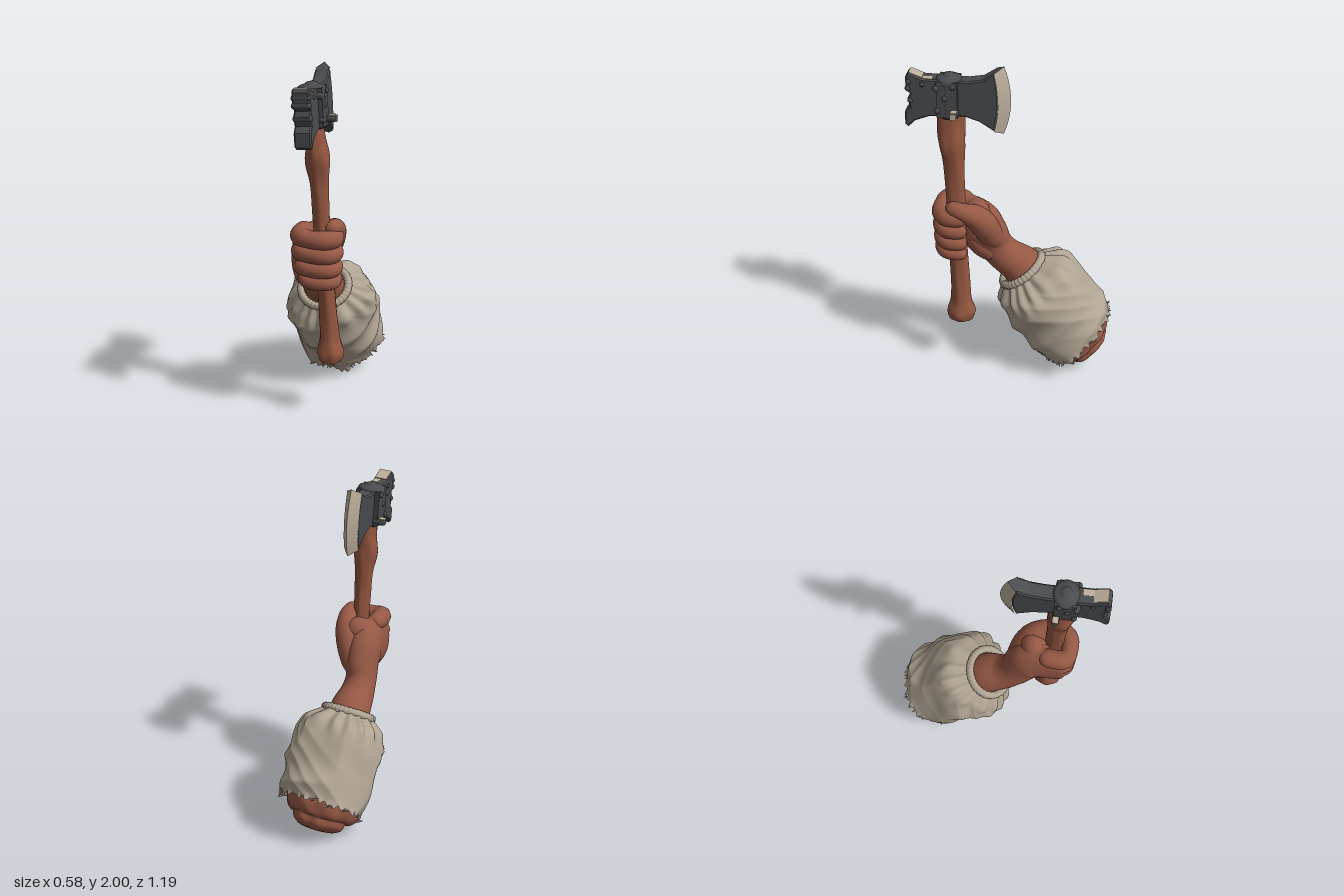
import * as THREE from 'three';

const V = (x, y, z) => new THREE.Vector3(x, y, z);
const material = (name, color, side = THREE.FrontSide) =>
  Object.assign(new THREE.MeshStandardMaterial({ color, side }), { name });

// Smooth skin over closed rings: f(theta, s) gives a point, s runs from 0 to 1
function skinSurface(nu, nv, f) {
  const pos = [], index = [];
  for (let j = 0; j <= nv; j++)
    for (let i = 0; i < nu; i++) pos.push(...f((i / nu) * Math.PI * 2, j / nv).toArray());
  for (let j = 0; j < nv; j++)
    for (let i = 0; i < nu; i++) {
      const a = j * nu + i, b = j * nu + ((i + 1) % nu);
      index.push(a, b, a + nu, b, b + nu, a + nu);
    }
  const g = new THREE.BufferGeometry();
  g.setAttribute('position', new THREE.Float32BufferAttribute(pos, 3));
  g.setIndex(index);
  g.computeVertexNormals();
  return g;
}

// Tapered limb through rows of [x, y, z, radius along ref, radius across]
function limb(rows, ref, cap = 0.15, nu = 24, nv = 40, bump = () => 1) {
  const path = new THREE.CatmullRomCurve3(rows.map(r => V(r[0], r[1], r[2])));
  const size = new THREE.CatmullRomCurve3(rows.map(r => V(r[3], r[4] ?? r[3], 0)), false, 'catmullrom');
  return skinSurface(nu, nv, (th, u) => {
    const s = 0.5 - 0.5 * Math.cos(Math.PI * u);
    const edge = Math.min(1, Math.min(s, 1 - s) / cap);
    const k = Math.sqrt(Math.max(0, 1 - (1 - edge) ** 2)) * bump(th, s);
    const t = path.getTangent(s), r = size.getPoint(s);
    const e1 = ref.clone().addScaledVector(t, -ref.dot(t)).normalize();
    const e2 = t.clone().cross(e1);
    return path.getPoint(s).addScaledVector(e1, r.x * k * Math.cos(th))
      .addScaledVector(e2, r.y * k * Math.sin(th));
  });
}

// Plate drawn in (z, y) and given thickness along x
function plate(points, thick) {
  const b = 0.008;
  const g = new THREE.ExtrudeGeometry(new THREE.Shape(points.map(p => new THREE.Vector2(...p))), {
    depth: thick - 2 * b, bevelEnabled: true, bevelSize: b, bevelThickness: b, bevelOffset: -b, bevelSegments: 1,
  });
  return g.translate(0, 0, b - thick / 2).rotateY(-Math.PI / 2);
}

// Flat-shaded geometry from a list of corner triples
function facets(corners) {
  const g = new THREE.BufferGeometry();
  g.setAttribute('position', new THREE.Float32BufferAttribute(corners.flat(), 3));
  g.computeVertexNormals();
  return g;
}

export function createModel() {
  const skin = material('skin', 0x965845);
  const wood = material('wood', 0x94563f);
  const cloth = material('cloth', 0xafa392, THREE.DoubleSide);
  const metal = material('dark metal', 0x494b4e);
  const steel = material('pale steel', 0xbeb09c);
  const X = V(1, 0, 0), Y = V(0, 1, 0);

  const model = new THREE.Group();
  const add = (parent, name, geo, mat, x = 0, y = 0, z = 0) => {
    const m = new THREE.Mesh(geo, mat);
    m.name = name;
    m.position.set(x, y, z);
    parent.add(m);
    return m;
  };

  // ---- Axe, leaning slightly to one side
  const axe = new THREE.Group();
  axe.name = 'axe';
  axe.position.x = 0.132;
  axe.rotation.z = 0.0625;
  model.add(axe);

  add(axe, 'handle', limb([
    [0, 0.33, 0.312, 0.062, 0.075], [0, 0.385, 0.315, 0.076, 0.085], [0, 0.47, 0.316, 0.058, 0.062],
    [0, 0.62, 0.318, 0.052, 0.055], [0, 1.0, 0.333, 0.046, 0.053], [0.002, 1.25, 0.338, 0.047, 0.055],
    [0.004, 1.4, 0.342, 0.051, 0.06], [0.005, 1.52, 0.35, 0.067, 0.073], [0.004, 1.63, 0.352, 0.05, 0.08],
    [0, 1.75, 0.355, 0.045, 0.08],
  ], X, 0.015, 28, 70, (th, s) => 1 + 0.035 * Math.cos(6 * th + 5 * s) + 0.02 * Math.sin(3 * th + 30 * s)), wood);

  // Blade, its outline following the inner arc of the cutting edge
  const inner = v => [0.085 + 0.022 * v * v, 1.805 + 0.172 * v];
  const outer = v => [0.02 + 0.038 * v * v, 1.805 + 0.2 * v];
  const steps = [...Array(13)].map((_, i) => i / 6 - 1);
  add(axe, 'blade', plate([
    ...steps.map(inner), [0.17, 1.935], [0.25, 1.92], [0.38, 1.92], [0.38, 1.71], [0.27, 1.71], [0.19, 1.685],
  ], 0.085), metal);

  // Cutting edge: a pale wedge narrowing from blade thickness to a line, with dark ends
  const rim = (v, x) => [x, inner(v)[1], inner(v)[0]];
  const tip = v => [0, outer(v)[1], outer(v)[0]];
  const edge = [];
  for (let i = 0; i < 12; i++)
    for (const x of [-0.044, 0.044]) {
      const [a, b, c, d] = [rim(steps[i], x), rim(steps[i + 1], x), tip(steps[i + 1]), tip(steps[i])];
      edge.push(...(x > 0 ? [a, c, b, a, d, c] : [a, b, c, a, c, d]));
    }
  add(axe, 'cuttingEdge', facets(edge), steel);
  add(axe, 'edgeEnds', facets([
    rim(1, -0.044), rim(1, 0.044), tip(1), rim(-1, 0.044), rim(-1, -0.044), tip(-1)]), metal);

  // Notched rear blade with rolled ribs and a worn top
  add(axe, 'rearBlade', plate([
    [0.34, 1.92], [0.5, 1.922], [0.575, 1.95], [0.592, 1.93], [0.592, 1.85], [0.568, 1.83], [0.585, 1.8],
    [0.572, 1.75], [0.602, 1.72], [0.602, 1.645], [0.585, 1.63], [0.545, 1.67], [0.47, 1.7], [0.34, 1.71],
  ], 0.094), metal);
  const topPlate = add(axe, 'rearTopFace', new THREE.BoxGeometry(0.07, 0.006, 0.078), steel, 0.004, 1.939, 0.538);
  topPlate.rotation.x = -0.36;
  add(axe, 'wornTop', new THREE.BoxGeometry(0.035, 0.006, 0.055), steel, 0.02, 1.92, 0.473);
  for (const [y, z] of [[1.9, 0.576], [1.86, 0.58], [1.79, 0.568]])
    add(axe, 'rearRib', new THREE.CapsuleGeometry(0.018, 0.075, 5, 10).rotateZ(Math.PI / 2), metal, 0, y, z);

  // Collar with a low cap
  const collarProfile = [[0, 1.7], [0.066, 1.7], [0.072, 1.72], [0.072, 1.89], [0.077, 1.9], [0.077, 1.922],
    [0.058, 1.932], [0.036, 1.934], [0.032, 1.944], [0.02, 1.949], [0, 1.95]];
  const collar = add(axe, 'collar', new THREE.LatheGeometry(collarProfile.map(p => new THREE.Vector2(...p)), 24), metal, 0, 0, 0.36);
  collar.scale.z = 0.9;
  for (const side of [-1, 1])
    add(axe, 'collarPlate', new THREE.BoxGeometry(0.03, 0.21, 0.115), metal, side * 0.055, 1.815, 0.362);

  // Bolts and rivets: [y, z, half length, radius]
  for (const [y, z, h, r] of [[1.74, 0.32, 0.118, 0.021], [1.88, 0.42, 0.085, 0.019], [1.75, 0.415, 0.085, 0.016],
    [1.825, 0.375, 0.082, 0.018], [1.895, 0.33, 0.084, 0.018], [1.89, 0.5, 0.056, 0.015]])
    add(axe, 'bolt', new THREE.CapsuleGeometry(r, 2 * (h - r), 4, 10).rotateZ(Math.PI / 2), metal, 0, y, z);
  for (const side of [-1, 1])
    add(axe, 'boltTop', new THREE.BoxGeometry(0.035, 0.006, 0.034), steel, side * 0.094, 1.76, 0.32);
  add(axe, 'boltFace', new THREE.BoxGeometry(0.006, 0.034, 0.034), steel, 0.117, 1.74, 0.32);

  // ---- Arm and fist
  const arm = new THREE.Group();
  arm.name = 'arm';
  model.add(arm);
  add(arm, 'forearmAndHandBack', limb([
    [-0.02, 0.5, -0.16, 0.125, 0.125], [-0.025, 0.65, -0.045, 0.122, 0.125], [-0.03, 0.725, 0.06, 0.102, 0.108],
    [-0.028, 0.8, 0.128, 0.09, 0.112], [-0.012, 0.9, 0.178, 0.1, 0.132], [-0.015, 0.955, 0.23, 0.1, 0.155],
    [-0.034, 0.968, 0.3, 0.073, 0.17], [-0.046, 0.968, 0.37, 0.056, 0.16], [-0.046, 0.968, 0.425, 0.045, 0.145],
  ], X, 0.07, 36, 60), skin);
  add(arm, 'palmHeel', limb([
    [-0.01, 0.74, 0.11, 0.06], [0, 0.81, 0.185, 0.078], [0, 0.89, 0.24, 0.08], [0, 0.96, 0.28, 0.05]], X), skin);
  add(arm, 'thumb', limb([
    [-0.01, 0.81, 0.09, 0.05], [0.035, 0.91, 0.137, 0.072], [0.068, 1.0, 0.172, 0.08], [0.098, 1.07, 0.215, 0.074],
    [0.124, 1.112, 0.275, 0.056], [0.125, 1.132, 0.33, 0.046], [0.105, 1.132, 0.385, 0.04]], X), skin);
  add(arm, 'thumbWeb', limb([
    [-0.045, 1.05, 0.3, 0.07], [0, 1.05, 0.235, 0.085, 0.075], [0.05, 1.06, 0.215, 0.085, 0.075], [0.1, 1.06, 0.22, 0.05]], Y), skin);

  // Four fingers wrapped round the handle: [y, radius, shift in x of the knuckle]
  for (const [y, r, dx] of [[1.085, 0.053, 0], [0.997, 0.05, 0.002], [0.912, 0.047, 0.01], [0.837, 0.042, 0.03]])
    add(arm, 'finger', limb([
      [-0.035 + dx, y + 0.01, 0.25, r * 1.05], [-0.05 + dx, y + 0.01, 0.34, r * 1.05],
      [-0.043 + dx, y + 0.008, 0.402, r * 1.05], [0.01, y, 0.424, r * 0.95], [0.085, y - 0.004, 0.419, r * 1.02],
      [0.128, y - 0.007, 0.385, r], [0.136, y - 0.01, 0.32, r * 0.92], [0.116, y - 0.012, 0.27, r * 0.85],
    ], Y, 0.1, 18, 44), skin);

  // ---- Sleeve, built round a sloping axis
  const axis = V(0.03, -0.79, -0.61).normalize();
  const e1 = X.clone().addScaledVector(axis, -X.dot(axis)).normalize();
  const e2 = axis.clone().cross(e1);
  const onAxis = (t, r, th) => V(-0.018, 0.64, -0.04).addScaledVector(axis, t)
    .addScaledVector(e1, r * Math.cos(th)).addScaledVector(e2, r * Math.sin(th));
  const profile = new THREE.SplineCurve([[0, 0.14], [0.035, 0.188], [0.09, 0.246], [0.2, 0.272], [0.35, 0.266],
    [0.48, 0.266], [0.575, 0.25]].map(p => new THREE.Vector2(...p)));

  const ragged = th => 0.5 * Math.sin(23 * th) + 0.5 * Math.sin(37 * th + 1) + 0.4 * Math.sin(9 * th + 2);
  const sleeveAt = (th, s) => {
    const p = profile.getPoint(s), t = p.x;
    const pleats = 0.014 * Math.sin(15 * th + 2 * Math.sin(3 * th)) * Math.exp(-(((t - 0.06) / 0.07) ** 2));
    const body = Math.min(1, t / 0.12);
    const waves = 0.007 * Math.sin(3 * th + 13 * t + Math.sin(2 * th));
    const creases = 0.022 * (0.6 - Math.abs(Math.sin(2 * th - 9 * t + 1.3 * Math.sin(th + 8 * t))));
    const wrinkles = 0.007 * (0.6 - Math.abs(Math.sin(4 * th + 20 * t + 2 * Math.sin(2 * th + 6 * t))));
    const lean = 0.008 * Math.cos(th) - 0.012 * Math.sin(th);
    const hem = Math.max(0, (s - 0.93) / 0.07) * ragged(th);
    return onAxis(t + 0.03 * Math.sin(th) * s ** 3 + 0.014 * hem,
      p.y + pleats + body * (waves + creases + wrinkles + lean) + 0.007 * hem, th);
  };
  const sleeve = new THREE.Group();
  sleeve.name = 'sleeve';
  model.add(sleeve);
  add(sleeve, 'sleeveBody', skinSurface(180, 64, sleeveAt), cloth);

  // Gathered cuff roll
  add(sleeve, 'cuff', skinSurface(180, 14, (th, s) => {
    const q = -s * Math.PI * 2, r = 0.023 + 0.002 * Math.sin(38 * th);
    return onAxis(r * Math.sin(q) * 1.1, 0.143 + r * Math.cos(q), th);
  }), cloth);

  // Torn threads around the hem
  let seed = 7;
  const rand = () => (seed = (seed * 16807) % 2147483647) / 2147483647;
  for (let i = 0; i < 30; i++) {
    const th = ((i + rand()) / 30) * Math.PI * 2;
    const at = sleeveAt(th, 0.99);
    const outward = onAxis(0, 1, th).sub(onAxis(0, 0, th));
    const dir = axis.clone().multiplyScalar(0.5 * rand()).addScaledVector(outward, 0.3 + 0.4 * rand())
      .add(V(rand() - 0.5, 0.5 * rand(), rand() - 0.5).multiplyScalar(0.8)).normalize();
    const shred = add(sleeve, 'tornThread', new THREE.ConeGeometry(0.013, 0.03 + 0.02 * rand(), 4), cloth, at.x, Math.max(0.03, at.y), at.z);
    shred.quaternion.setFromUnitVectors(Y, dir);
  }

  // Stepped, rounded end of the arm, filling the open sleeve
  const stump = new THREE.SplineCurve([[0.51, 0.225], [0.56, 0.226], [0.61, 0.205], [0.635, 0.18], [0.64, 0.16],
    [0.68, 0.142], [0.708, 0.09], [0.717, 0.001]].map(p => new THREE.Vector2(...p)));
  add(arm, 'armEnd', skinSurface(64, 42, (th, s) => {
    const p = stump.getPoint(s);
    return onAxis(p.x + 0.03 * p.y * Math.sin(3 * th + 1) + 0.015 * Math.sin(th) * (1 - s),
      p.y * (1 + 0.03 * Math.sin(5 * th) + 0.02 * Math.sin(9 * th + 9 * s)), th);
  }), skin);

  return model;
}
